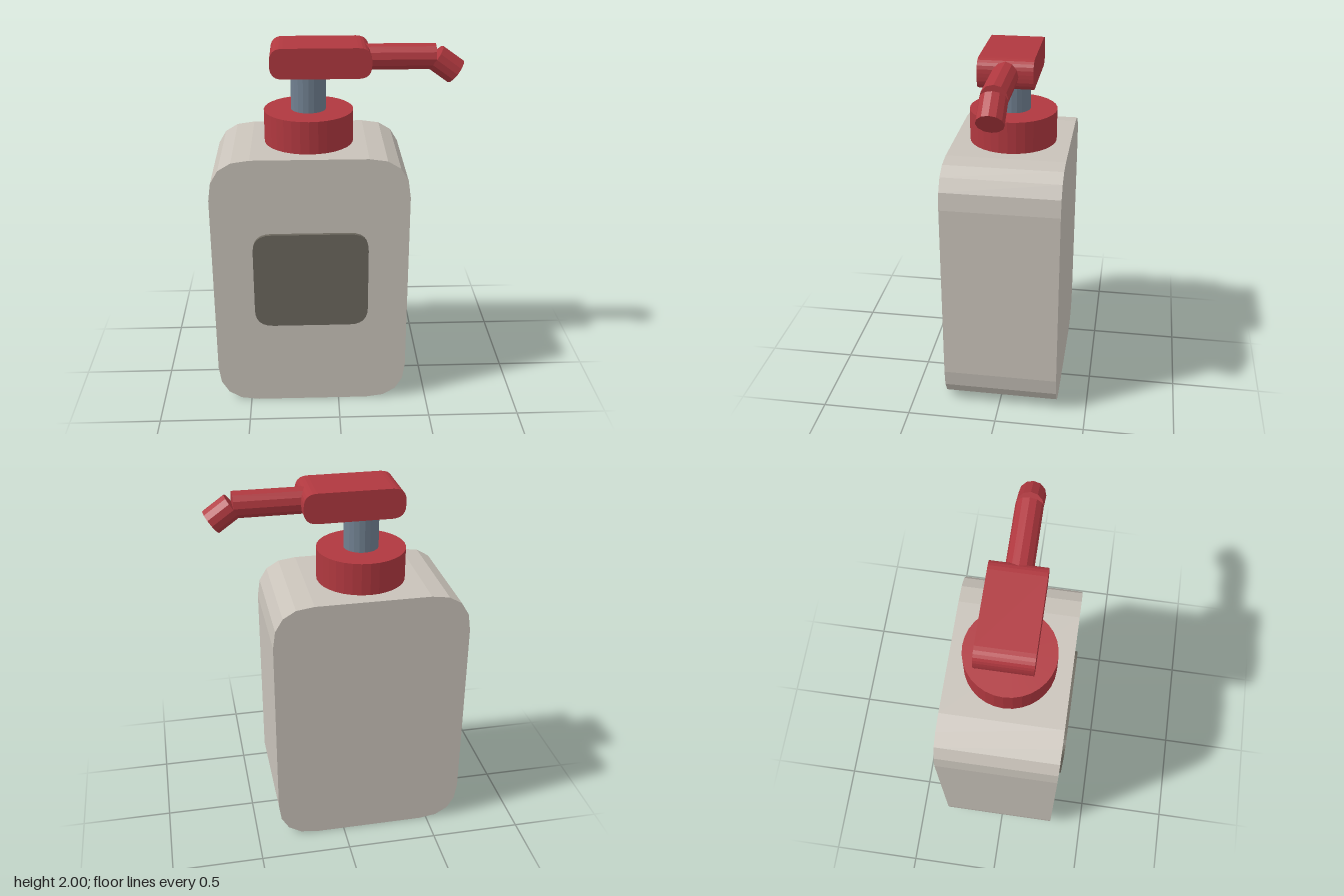
import * as THREE from 'three';

const mat = (name, color) => {
  const m = new THREE.MeshStandardMaterial({ color, flatShading: true });
  m.name = name;
  return m;
};

// Slab with softly curved corners, extruded from z0 to z1
function slab(x0, x1, y0, y1, z0, z1, r, segments) {
  const s = new THREE.Shape();
  s.moveTo(x0 + r, y0);
  s.lineTo(x1 - r, y0);
  s.quadraticCurveTo(x1, y0, x1, y0 + r);
  s.lineTo(x1, y1 - r);
  s.quadraticCurveTo(x1, y1, x1 - r, y1);
  s.lineTo(x0 + r, y1);
  s.quadraticCurveTo(x0, y1, x0, y1 - r);
  s.lineTo(x0, y0 + r);
  s.quadraticCurveTo(x0, y0, x0 + r, y0);
  const g = new THREE.ExtrudeGeometry(s, { depth: z1 - z0, bevelEnabled: false, curveSegments: segments });
  return g.translate(0, 0, z0);
}

// Upright or tilted rod between two points
function rod(a, b, radius, sides) {
  const dir = new THREE.Vector3().subVectors(b, a);
  const g = new THREE.CylinderGeometry(radius, radius, dir.length(), sides);
  g.rotateY(Math.PI / 2); // puts an edge along the upper side of the spout
  g.applyQuaternion(new THREE.Quaternion().setFromUnitVectors(new THREE.Vector3(0, 1, 0), dir.normalize()));
  const mid = a.clone().add(b).multiplyScalar(0.5);
  return g.translate(mid.x, mid.y, mid.z);
}

export function createModel() {
  const group = new THREE.Group();
  group.name = 'soapDispenser';
  const cream = mat('cream', 0xc8c2b9);
  const red = mat('red', 0xb0383f);
  const steel = mat('steel', 0x708090);
  const dark = mat('darkTaupe', 0x6b675d);
  const add = (name, geometry, material) => {
    const mesh = new THREE.Mesh(geometry, material);
    mesh.name = name;
    group.add(mesh);
  };
  const cx = -0.15, cz = -0.01;
  const p = (x, y) => new THREE.Vector3(x, y, cz);

  // Bottle and front label
  add('bottle', slab(-0.68, 0.378, 0, 1.466, -0.33, 0.31, 0.22, 4), cream);
  add('label', slab(-0.46, 0.16, 0.498, 1.05, 0.31, 0.33, 0.1, 6), dark);

  // Pump
  add('collar', rod(p(cx, 1.46), p(cx, 1.642), 0.24, 32), red);
  add('stem', rod(p(cx, 1.64), p(cx, 1.85), 0.094, 20), steel);
  add('pumpHead', slab(-0.35, 0.178, 1.84, 2, -0.155, 0.133, 0.07, 6), red);

  // Spout with drooping tip
  add('spout', rod(p(0.1, 1.92), p(0.52, 1.92), 0.07, 12), red);
  add('spoutTip', rod(p(0.52, 1.916), p(0.632, 1.836), 0.07, 12), red);

  return group;
}
